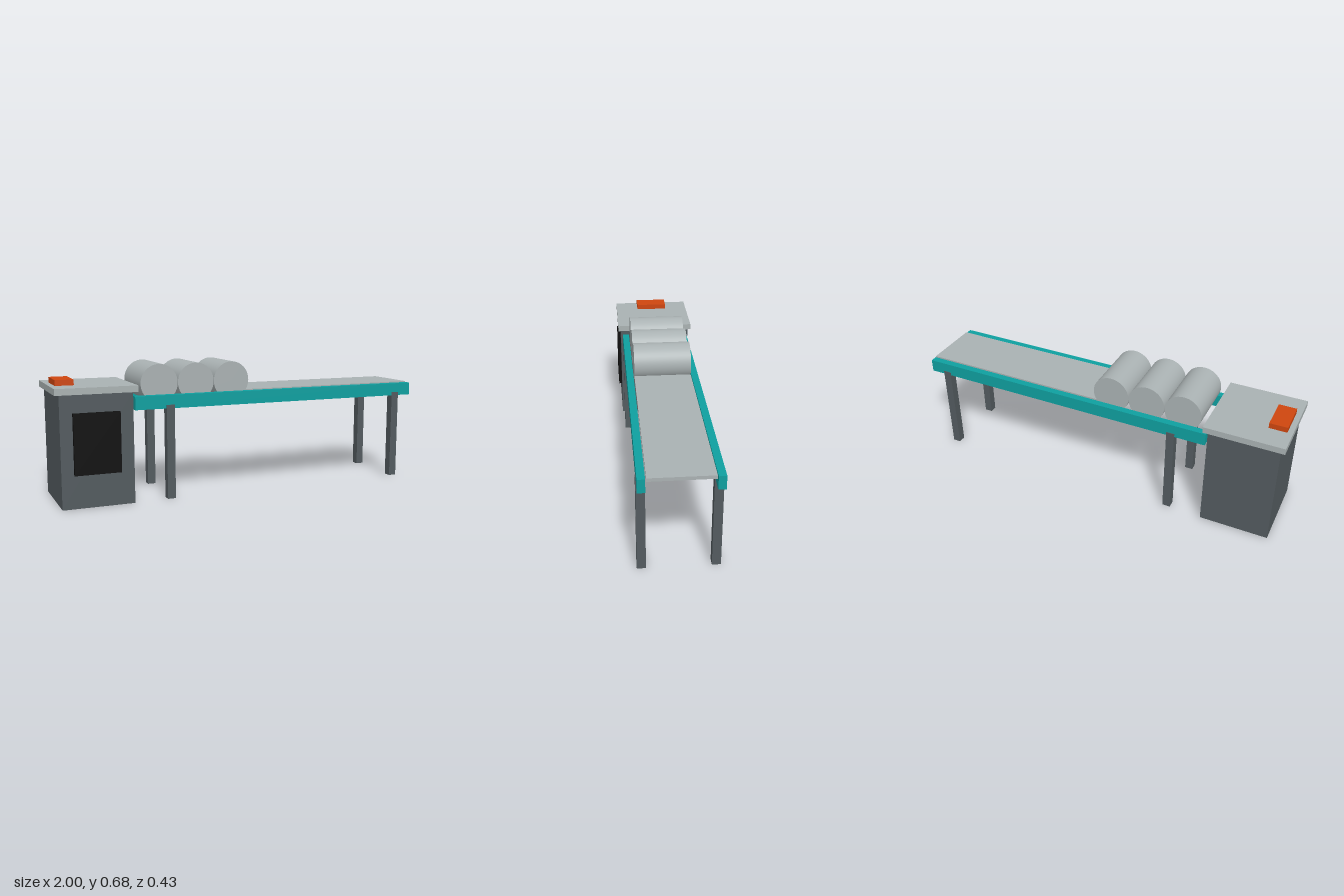
import * as THREE from 'three';

const material = (name, color) => {
  const m = new THREE.MeshStandardMaterial({ color });
  m.name = name;
  return m;
};

export function createModel() {
  const steel = material('light steel', 0xaab2b3);
  const darkSteel = material('dark steel', 0x535b5f);
  const teal = material('teal paint', 0x0fa0a0);
  const orange = material('orange plastic', 0xcf460f);
  const black = material('black panel', 0x0f0f0f);

  const model = new THREE.Group();
  model.name = 'conveyorTable';

  // Box given by its extents along each axis
  const box = (name, mat, [x0, x1], [y0, y1], [z0, z1]) => {
    const mesh = new THREE.Mesh(new THREE.BoxGeometry(x1 - x0, y1 - y0, z1 - z0), mat);
    mesh.position.set((x0 + x1) / 2, (y0 + y1) / 2, (z0 + z1) / 2);
    mesh.name = name;
    model.add(mesh);
  };

  // Control cabinet with worktop, front panel and control box
  box('cabinet', darkSteel, [-0.978, -0.62], [0, 0.553], [-0.201, 0.201]);
  box('worktop', steel, [-1, -0.597], [0.553, 0.585], [-0.216, 0.216]);
  box('frontPanel', black, [-0.917, -0.688], [0.165, 0.464], [0.2, 0.218]);
  box('controlBox', orange, [-0.973, -0.882], [0.585, 0.613], [-0.087, 0.087]);

  // Belt between the rails
  box('belt', steel, [-0.01, 1], [0.515, 0.532], [-0.15, 0.15]);

  // Side rails and their legs
  for (const side of [1, -1]) {
    const span = (a, b) => (side > 0 ? [a, b] : [-b, -a]);
    box('sideRail', teal, [-0.607, 1], [0.46, 0.527], span(0.154, 0.19));
    for (const x of [-0.427, 0.902]) {
      box('leg', darkSteel, [x - 0.021, x + 0.021], [0, 0.478], span(0.151, 0.193));
    }
  }

  // Three rollers lying across the frame
  const rollerGeometry = new THREE.CylinderGeometry(0.0965, 0.0965, 0.3, 40).rotateX(Math.PI / 2);
  for (let i = 0; i < 3; i++) {
    const roller = new THREE.Mesh(rollerGeometry, steel);
    roller.position.set(-0.471 + i * 0.194, 0.583, 0);
    roller.name = 'roller';
    model.add(roller);
  }

  return model;
}
